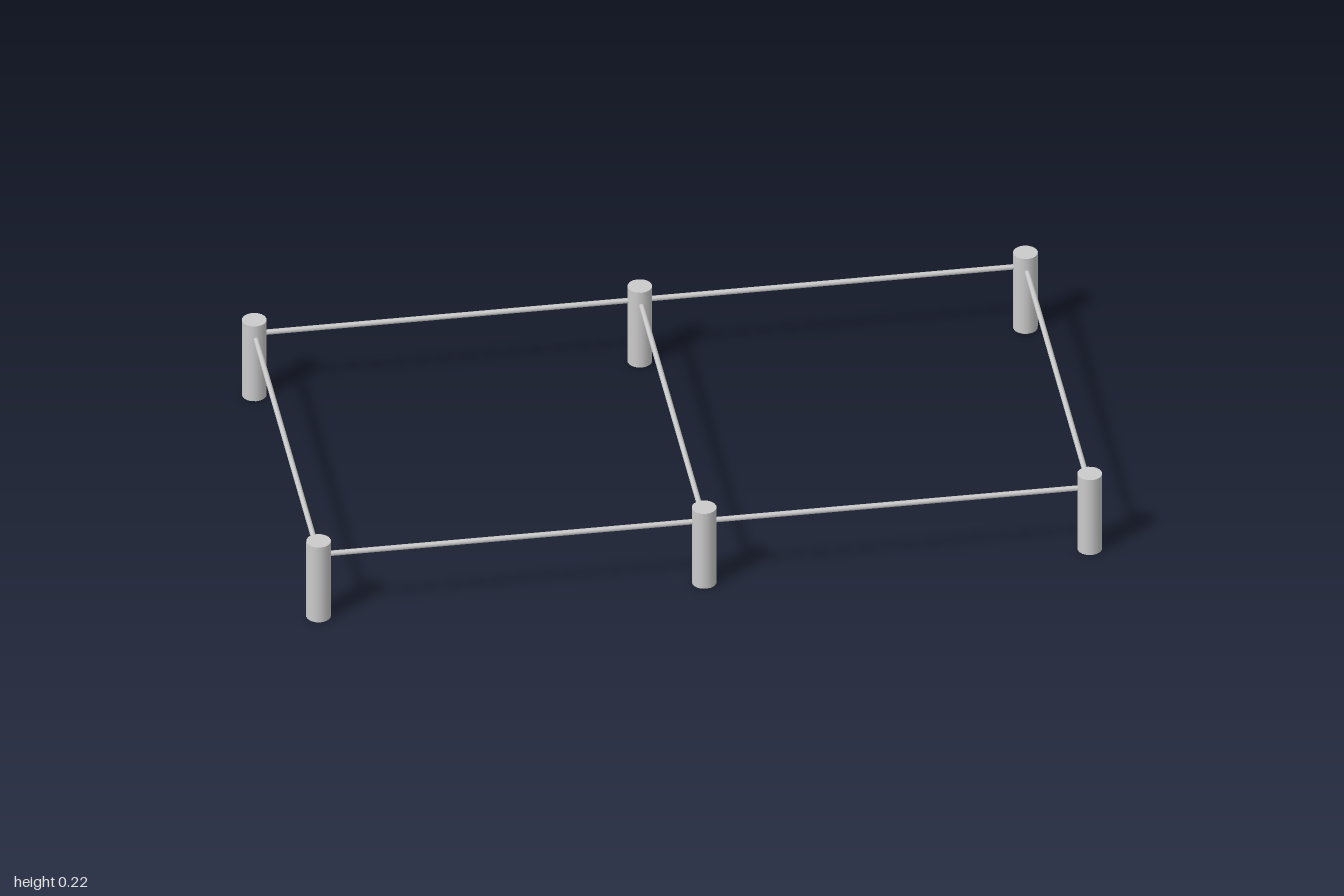
import * as THREE from 'three';

const POST_X = 0.969, POST_Z = 0.507, POST_R = 0.031, POST_H = 0.222;
const RAIL_Y = 0.182, RAIL_R = 0.007;

export function createModel() {
  const model = new THREE.Group();
  model.name = 'postAndRailFrame';
  const material = new THREE.MeshStandardMaterial({ color: 0xcccccc });

  const postGeometry = new THREE.CylinderGeometry(POST_R, POST_R, POST_H, 16);

  // Upright post standing on the ground
  function addPost(name, x, z) {
    const post = new THREE.Mesh(postGeometry, material);
    post.name = name;
    post.position.set(x, POST_H / 2, z);
    model.add(post);
  }

  // Thin round bar between two post centres
  function addRail(name, x1, z1, x2, z2) {
    const from = new THREE.Vector3(x1, RAIL_Y, z1);
    const to = new THREE.Vector3(x2, RAIL_Y, z2);
    const geometry = new THREE.CylinderGeometry(RAIL_R, RAIL_R, from.distanceTo(to), 8);
    const rail = new THREE.Mesh(geometry, material);
    rail.name = name;
    rail.position.lerpVectors(from, to, 0.5);
    rail.quaternion.setFromUnitVectors(new THREE.Vector3(0, 1, 0), to.clone().sub(from).normalize());
    model.add(rail);
  }

  const columns = [['right', -POST_X], ['middle', 0], ['left', POST_X]];
  const rows = [['Front', POST_Z], ['Back', -POST_Z]];

  // Posts and cross rails, column by column
  for (const [side, x] of columns) {
    for (const [end, z] of rows) addPost(`${side}${end}Post`, x, z);
    addRail(`${side}CrossRail`, x, POST_Z, x, -POST_Z);
  }

  // Long rails, in two spans along the front and the back
  for (const [end, z] of rows) {
    addRail(`right${end}Rail`, -POST_X, z, 0, z);
    addRail(`left${end}Rail`, 0, z, POST_X, z);
  }

  return model;
}
